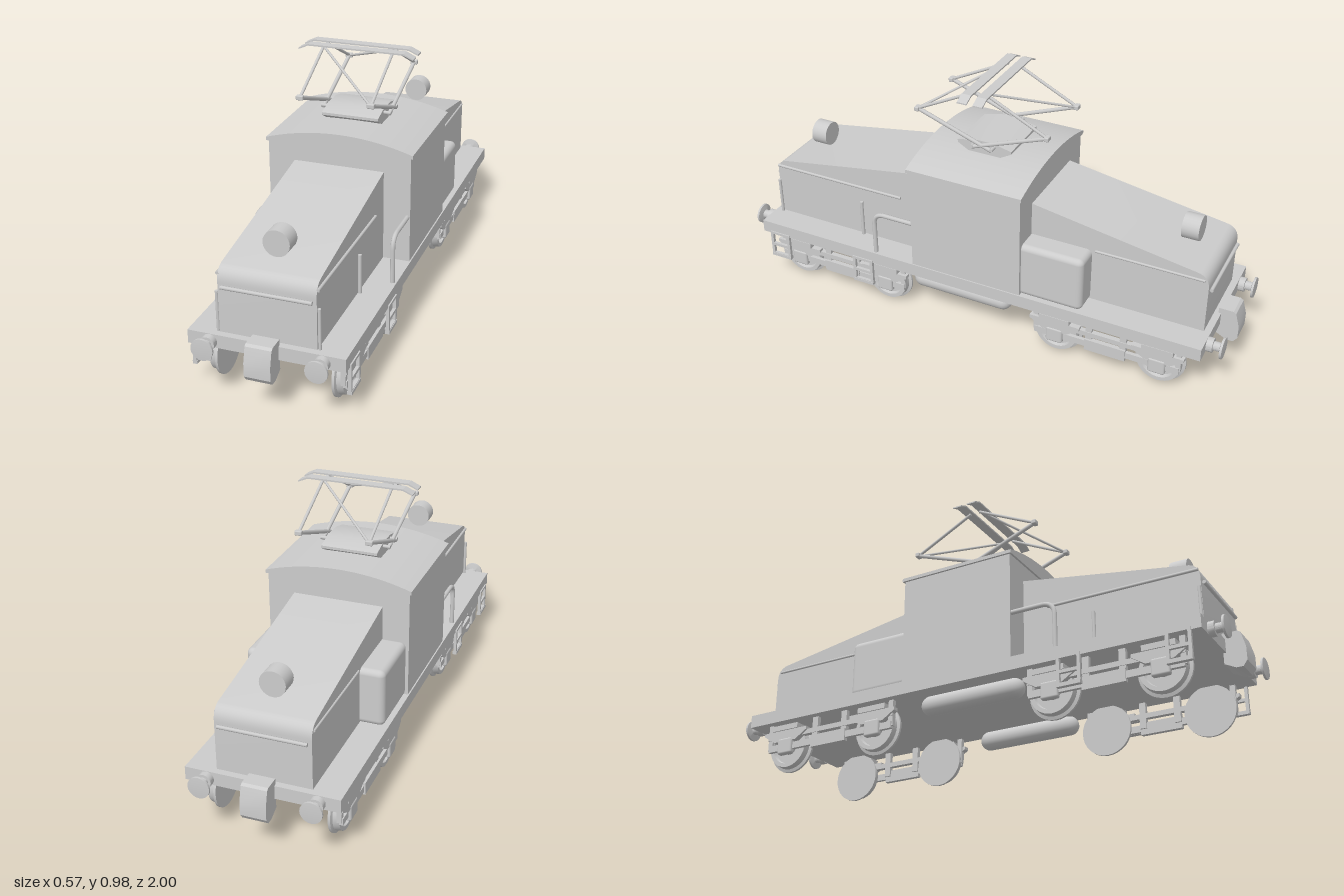
import * as THREE from 'three';
import { RoundedBoxGeometry } from 'three/addons/geometries/RoundedBoxGeometry.js';
import { toCreasedNormals } from 'three/addons/utils/BufferGeometryUtils.js';

const grey = new THREE.MeshStandardMaterial({ color: 0xcccccc });
const thin = new THREE.MeshStandardMaterial({ color: 0xcccccc, side: THREE.DoubleSide });
const V = (x, y, z) => new THREE.Vector3(x, y, z);

export function createModel() {
  const model = new THREE.Group();

  const add = (name, geo, x = 0, y = 0, z = 0, parent = model, mat = grey) => {
    const m = new THREE.Mesh(geo, mat);
    m.name = name;
    m.position.set(x, y, z);
    parent.add(m);
    return m;
  };
  // Box given by its extents on each axis
  const box = (name, x0, x1, y0, y1, z0, z1, parent = model) =>
    add(name, new THREE.BoxGeometry(Math.abs(x1 - x0), y1 - y0, Math.abs(z1 - z0)),
      (x0 + x1) / 2, (y0 + y1) / 2, (z0 + z1) / 2, parent);
  const rounded = (name, x0, x1, y0, y1, z0, z1, r, parent = model) =>
    add(name, new RoundedBoxGeometry(Math.abs(x1 - x0), y1 - y0, Math.abs(z1 - z0), 4, r),
      (x0 + x1) / 2, (y0 + y1) / 2, (z0 + z1) / 2, parent);
  // Straight round bar between two points
  const rod = (name, a, b, r, parent = model) => {
    const d = b.clone().sub(a);
    const m = add(name, new THREE.CylinderGeometry(r, r, d.length(), 8), 0, 0, 0, parent);
    m.position.copy(a).add(b).multiplyScalar(0.5);
    m.quaternion.setFromUnitVectors(V(0, 1, 0), d.normalize());
    return m;
  };
  // Side profile (z, y) extruded across x0..x1
  const sideExtrude = (name, shape, x0, x1, parent = model) => {
    const g = new THREE.ExtrudeGeometry(shape, { depth: x1 - x0, bevelEnabled: false, curveSegments: 10 });
    g.rotateY(-Math.PI / 2);
    g.translate(x1, 0, 0);
    return add(name, toCreasedNormals(g, 0.6), 0, 0, 0, parent);
  };
  const polygon = pts => new THREE.Shape(pts.map(p => new THREE.Vector2(...p)));

  // Deck
  box('deck', -0.28, 0.28, 0.19, 0.24, -0.93, 0.93);

  // Cab with arched roof
  box('cab', -0.275, 0.275, 0.24, 0.66, -0.225, 0.23);
  const arch = new THREE.Shape();
  arch.moveTo(-0.283, 0.652);
  arch.lineTo(0.283, 0.652);
  arch.lineTo(0.283, 0.665);
  arch.bezierCurveTo(0.17, 0.702, 0.07, 0.71, 0, 0.71);
  arch.bezierCurveTo(-0.07, 0.71, -0.17, 0.702, -0.283, 0.665);
  const roofGeo = new THREE.ExtrudeGeometry(arch, { depth: 0.47, bevelEnabled: false, curveSegments: 12 });
  add('roof', toCreasedNormals(roofGeo, 0.6), 0, 0, -0.232);

  // Both ends: sloping hood, headlight, buffers, coupler
  for (const s of [1, -1]) {
    const end = new THREE.Group();
    end.name = s > 0 ? 'frontEnd' : 'rearEnd';
    if (s < 0) end.rotation.y = Math.PI;
    model.add(end);

    const hood = new THREE.Shape();
    hood.moveTo(0.2, 0.235);
    hood.lineTo(0.905, 0.235);
    hood.lineTo(0.905, 0.425);
    hood.quadraticCurveTo(0.905, 0.475, 0.86, 0.482);
    hood.lineTo(0.2, 0.59);
    sideExtrude('hood', hood, -0.173, 0.173, end);

    const lamp = add('headlight', new THREE.CylinderGeometry(0.048, 0.048, 0.065, 24), 0, 0.55, 0.783, end);
    lamp.rotation.x = Math.PI / 2;
    rod('noseHandrail', V(-0.16, 0.412, 0.912), V(0.16, 0.412, 0.912), 0.007, end);

    // Coupler head with chamfered nose
    sideExtrude('coupler', polygon([[0.92, 0.15], [0.96, 0.13], [0.985, 0.13], [1, 0.15], [1, 0.2],
      [0.985, 0.255], [0.975, 0.262], [0.92, 0.262]]), -0.047, 0.047, end);

    for (const x of [-0.2, 0.2]) {
      const profile = [[0, 0], [0.027, 0], [0.027, 0.025], [0.017, 0.025], [0.017, 0.05], [0.04, 0.055], [0.04, 0.063], [0, 0.066]];
      const g = new THREE.LatheGeometry(profile.map(p => new THREE.Vector2(...p)), 20);
      g.rotateX(Math.PI / 2);
      add('buffer', toCreasedNormals(g, 0.6), x, 0.212, 0.928, end);
    }
  }

  // Parts on each flank
  for (const s of [1, -1]) {
    const side = new THREE.Group();
    side.name = s > 0 ? 'leftFlank' : 'rightFlank';
    model.add(side);

    rounded('equipmentBox', s * 0.15, s * 0.264, 0.235, 0.455, -0.467, -0.21, 0.022, side);
    rod('frontHoodRail', V(s * 0.176, 0.455, 0.33), V(s * 0.176, 0.455, 0.9), 0.006, side);
    rod('rearHoodRail', V(s * 0.174, 0.455, -0.48), V(s * 0.174, 0.455, -0.89), 0.005, side);
    rod('grabPost', V(s * 0.18, 0.24, 0.51), V(s * 0.18, 0.39, 0.51), 0.007, side);
    rod('grabPost', V(s * 0.18, 0.24, 0.9), V(s * 0.18, 0.39, 0.9), 0.006, side);

    // Bent handrail beside the cab door
    const rail = new THREE.CurvePath();
    const x = s * 0.264;
    rail.add(new THREE.LineCurve3(V(x, 0.24, 0.4), V(x, 0.37, 0.4)));
    rail.add(new THREE.QuadraticBezierCurve3(V(x, 0.37, 0.4), V(x, 0.418, 0.4), V(x, 0.418, 0.35)));
    rail.add(new THREE.LineCurve3(V(x, 0.418, 0.35), V(x, 0.418, 0.23)));
    add('cabHandrail', new THREE.TubeGeometry(rail, 36, 0.009, 8), 0, 0, 0, side);

    // Air tank under the deck
    const tank = add('airTank', new THREE.CapsuleGeometry(0.037, 0.345, 6, 18), s * 0.215, 0.147, 0.042, side);
    tank.rotation.x = Math.PI / 2;

    // Footstep frames below the front half
    for (const z of [0.85, 0.455]) {
      const frame = polygon([[z - 0.045, 0.085], [z + 0.045, 0.085], [z + 0.045, 0.2], [z - 0.045, 0.2]]);
      frame.holes.push(new THREE.Path([[z - 0.033, 0.1], [z - 0.033, 0.135], [z + 0.033, 0.135], [z + 0.033, 0.1]]
        .map(p => new THREE.Vector2(...p))));
      frame.holes.push(new THREE.Path([[z - 0.033, 0.147], [z - 0.033, 0.19], [z + 0.033, 0.19], [z + 0.033, 0.147]]
        .map(p => new THREE.Vector2(...p))));
      sideExtrude('stepFrame', frame, s * 0.279 - 0.006, s * 0.279 + 0.006, side);
      box('stepTread', s * 0.27, s * 0.287, 0.085, 0.097, z - 0.045, z + 0.045, side);
    }

    // Bogie side: frame, hangers, axle boxes, wheels
    for (const c of [0.572, -0.566]) {
      const bogie = new THREE.Group();
      bogie.name = 'bogieSide';
      bogie.position.z = c;
      side.add(bogie);
      box('frameBar', s * 0.242, s * 0.256, 0.08, 0.106, -0.285, 0.285, bogie);
      box('centreBlock', s * 0.242, s * 0.26, 0.068, 0.115, -0.08, 0.08, bogie);
      box('topBar', s * 0.235, s * 0.255, 0.128, 0.147, -0.29, 0.29, bogie);
      for (const k of [-1, 1]) {
        box('hanger', s * 0.235, s * 0.252, 0.09, 0.192, k * 0.055, k * 0.08, bogie);
        box('endHanger', s * 0.235, s * 0.252, 0.09, 0.192, k * 0.27, k * 0.29, bogie);
        const w = k * 0.202;
        // Leaf spring above the axle box
        sideExtrude('leafSpring', polygon([[w - 0.05, 0.113], [w + 0.05, 0.113], [w + 0.1, 0.145], [w + 0.1, 0.157],
          [w - 0.1, 0.157], [w - 0.1, 0.145]]), Math.min(s * 0.24, s * 0.263), Math.max(s * 0.24, s * 0.263), bogie);
        box('springBracket', s * 0.22, s * 0.268, 0.157, 0.178, w - 0.06, w + 0.06, bogie);
        rounded('axleBox', s * 0.24, s * 0.266, 0.062, 0.125, w - 0.033, w + 0.033, 0.008, bogie);

        // Flanged wheel
        const prof = [[0, 0], [0.097, 0], [0.097, 0.009], [0.086, 0.013], [0.083, 0.036], [0.068, 0.036], [0.064, 0.022],
          [0.03, 0.022], [0.026, 0.04], [0, 0.04]];
        const g = new THREE.LatheGeometry(prof.map(p => new THREE.Vector2(...p)), 32);
        g.rotateZ(-s * Math.PI / 2);
        add('wheel', toCreasedNormals(g, 0.6), s * 0.206, 0.098, w, bogie, thin);
      }
    }
  }

  // Pantograph
  const panto = new THREE.Group();
  panto.name = 'pantograph';
  model.add(panto);
  sideExtrude('pantographBase', polygon([[-0.06, 0.7], [0.06, 0.7], [0.11, 0.728], [0.11, 0.738], [0.04, 0.755],
    [-0.04, 0.755], [-0.11, 0.738], [-0.11, 0.728]]), -0.11, 0.11, panto);
  for (const k of [-1, 1]) {
    for (const x of [-0.13, 0.13]) {
      const elbow = V(x * 1.03, 0.845, k * 0.262);
      rod('lowerArm', V(x, 0.735, -k * 0.04), elbow, 0.008, panto);
      rod('upperArm', elbow, V(x * 1.03, 0.965, k * 0.02), 0.006, panto);
      rounded('elbowJoint', elbow.x - 0.014, elbow.x + 0.014, 0.836, 0.854, k * 0.262 - 0.009, k * 0.262 + 0.009, 0.004, panto);
      rod('pivotPin', V(x * 0.8, 0.74, -k * 0.04), V(x * 1.06, 0.74, -k * 0.04), 0.007, panto);
    }
    rod('crossBrace', V(k * 0.13, 0.845, k * 0.26), V(-k * 0.13, 0.965, k * 0.025), 0.005, panto);
    // Contact strip with drooping horns
    const strip = polygon([[-0.222, 0.954], [-0.185, 0.97], [0.185, 0.97], [0.222, 0.954], [0.222, 0.959],
      [0.185, 0.976], [-0.185, 0.976], [-0.222, 0.959]]);
    add('contactStrip', new THREE.ExtrudeGeometry(strip, { depth: 0.038, bevelEnabled: false }), 0, 0, k * 0.031 - 0.019, panto);
  }
  return model;
}
